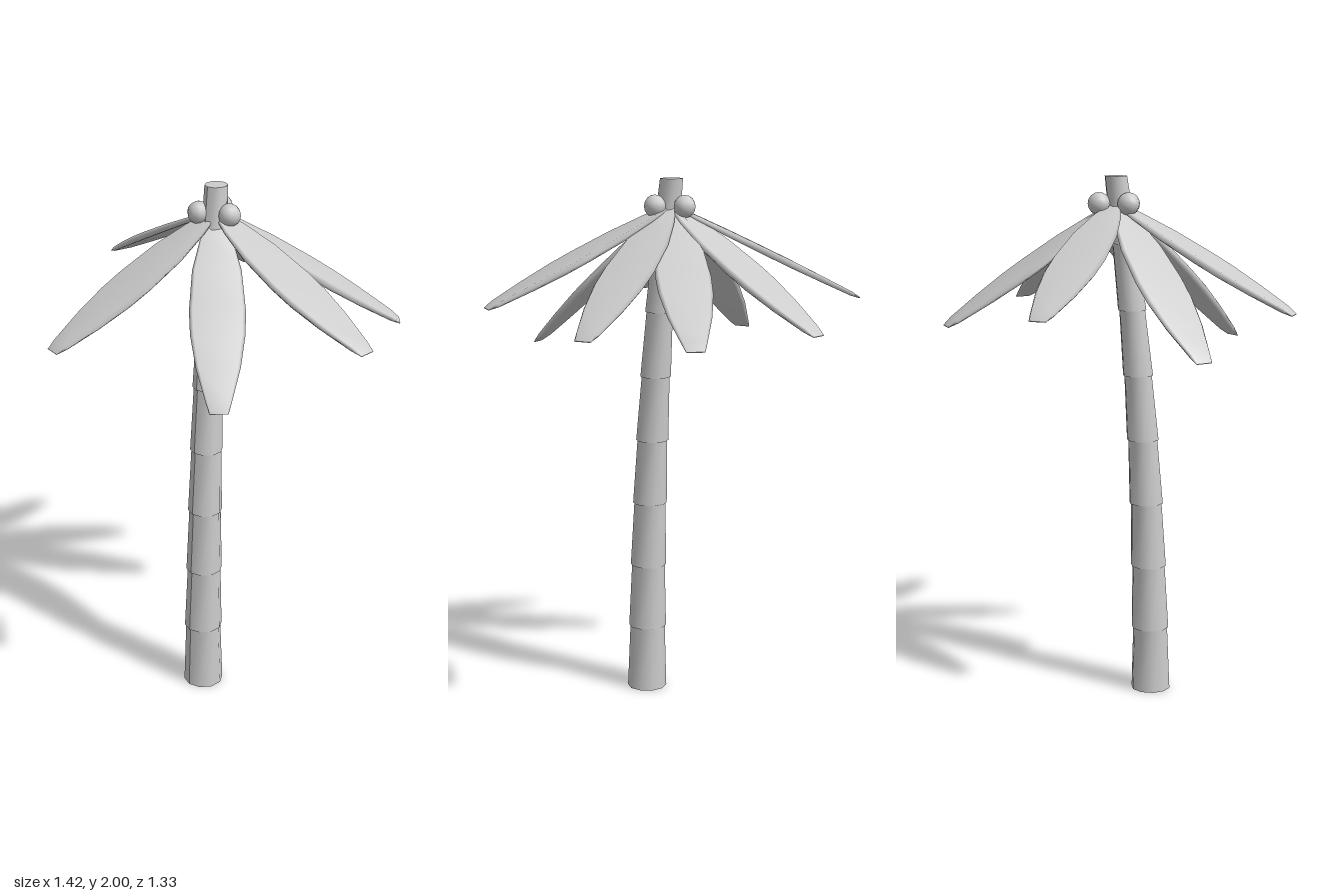
import * as THREE from 'three';

const material = new THREE.MeshStandardMaterial({ color: 0xcccccc, side: THREE.DoubleSide });

function addMesh(parent, geometry, name) {
  const mesh = new THREE.Mesh(geometry, material);
  mesh.name = name;
  parent.add(mesh);
  return mesh;
}

// Trunk segment: a tapered cylinder sheared between two centres of the leaning trunk
function trunkSegment(a, b, bottomRadius, topRadius) {
  const height = b.y - a.y;
  const g = new THREE.CylinderGeometry(topRadius, bottomRadius, height, 10);
  const p = g.attributes.position;
  for (let i = 0; i < p.count; i++) {
    const t = p.getY(i) / height + 0.5;
    p.setXYZ(i,
      p.getX(i) + THREE.MathUtils.lerp(a.x, b.x, t),
      a.y + t * height,
      p.getZ(i) + THREE.MathUtils.lerp(a.z, b.z, t));
  }
  g.computeVertexNormals();
  return g;
}

// Leaf: flat hexagonal sections lofted from the crown to a blunt tip
// Each station is [position along the leaf, half width, half thickness]
const stations = [
  [0, 0.012, 0.004], [0.06, 0.035, 0.007], [0.13, 0.056, 0.009], [0.3, 0.088, 0.012],
  [0.5, 0.1, 0.013], [0.62, 0.097, 0.013], [0.78, 0.078, 0.011], [0.95, 0.044, 0.008],
  [1, 0.033, 0.002],
];
const section = [[1, 0], [0.88, 1], [-0.88, 1], [-1, 0], [-0.88, -1], [0.88, -1]];

function leafGeometry(base, tip) {
  const along = tip.clone().sub(base);
  const side = new THREE.Vector3(0, 1, 0).cross(along).normalize();
  const up = along.clone().cross(side).normalize();
  const positions = [];
  const index = [];
  const n = section.length;
  for (const [t, w, h] of stations) {
    for (const [u, v] of section) {
      const q = base.clone().addScaledVector(along, t)
        .addScaledVector(side, u * w).addScaledVector(up, v * h);
      positions.push(q.x, q.y, q.z);
    }
  }
  for (let r = 0; r < stations.length - 1; r++) {
    for (let i = 0; i < n; i++) {
      const a = r * n + i;
      const b = r * n + (i + 1) % n;
      index.push(a, b, a + n, b, b + n, a + n);
    }
  }
  // end caps
  const last = (stations.length - 1) * n;
  for (let i = 1; i < n - 1; i++) {
    index.push(0, i + 1, i, last, last + i, last + i + 1);
  }
  const g = new THREE.BufferGeometry();
  g.setAttribute('position', new THREE.Float32BufferAttribute(positions, 3));
  g.setIndex(index);
  g.computeVertexNormals();
  return g;
}

export function createModel() {
  const palm = new THREE.Group();
  palm.name = 'palmTree';

  // Leaning trunk of eight stacked segments
  const trunk = new THREE.Group();
  trunk.name = 'trunk';
  palm.add(trunk);
  const centres = [
    [0.057, 0.104], [0.055, 0.102], [0.053, 0.095], [0.049, 0.086], [0.043, 0.073],
    [0.034, 0.056], [0.024, 0.035], [0.011, 0.008], [-0.005, -0.021],
  ].map(([x, z], i) => new THREE.Vector3(x, i * 0.25, z));
  for (let i = 0; i < 8; i++) {
    const radius = 0.076 - i * 0.0036;
    addMesh(trunk, trunkSegment(centres[i], centres[i + 1], radius, radius - 0.0085), 'trunkSegment');
  }

  // Eight drooping leaves around the crown
  const leaves = new THREE.Group();
  leaves.name = 'leaves';
  palm.add(leaves);
  const crown = new THREE.Vector3(-0.005, 1.9, -0.02);
  const tips = [
    [0.705, 1.55, -0.068], [0.42, 1.36, 0.36], [-0.11, 1.515, 0.66], [-0.43, 1.38, 0.385],
    [-0.708, 1.55, -0.14], [-0.375, 1.475, -0.57], [0.107, 1.455, -0.66], [0.462, 1.485, -0.51],
  ];
  for (const tip of tips) {
    addMesh(leaves, leafGeometry(crown, new THREE.Vector3(...tip)), 'leaf');
  }

  // Small pointed shoots behind the crown
  for (const [x, y, z] of [[-0.065, 1.81, -0.165], [0.015, 1.81, -0.125], [0.09, 1.82, -0.115], [-0.08, 1.86, -0.025]]) {
    const end = new THREE.Vector3(x, y, z);
    const start = new THREE.Vector3(-0.01, 1.88, -0.04);
    const dir = end.clone().sub(start);
    const shoot = addMesh(palm, new THREE.ConeGeometry(0.009, dir.length(), 5), 'shoot');
    shoot.position.copy(start).add(end).multiplyScalar(0.5);
    shoot.quaternion.setFromUnitVectors(new THREE.Vector3(0, 1, 0), dir.normalize());
  }

  // Three round fruits under the trunk top
  for (const [x, z] of [[-0.038, 0.034], [0.06, -0.025], [-0.038, -0.078]]) {
    addMesh(palm, new THREE.SphereGeometry(0.042, 10, 8), 'fruit').position.set(x, 1.9, z);
  }

  return palm;
}
